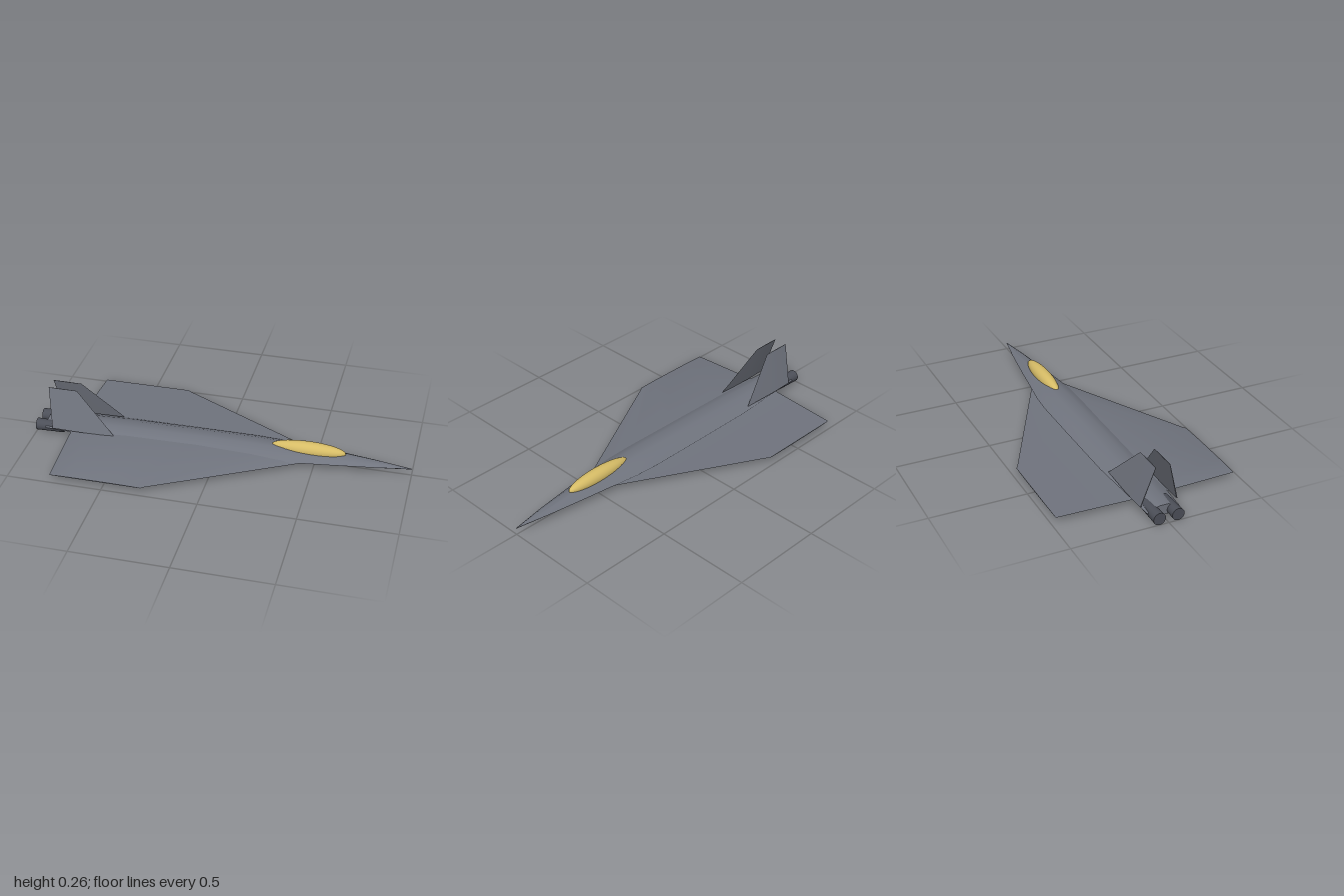
import * as THREE from 'three';
import { toCreasedNormals } from 'three/addons/utils/BufferGeometryUtils.js';

const mat = (name, color) => new THREE.MeshStandardMaterial({ name, color });

// Skin a row of closed cross-sections and cap both ends
function loft(rings, crease) {
  const n = rings[0].length, index = [];
  const last = (rings.length - 1) * n;
  for (let i = 0; i < rings.length - 1; i++) {
    for (let j = 0; j < n; j++) {
      const a = i * n + j, b = i * n + (j + 1) % n;
      index.push(a, b, a + n, b, b + n, a + n);
    }
  }
  for (let j = 1; j < n - 1; j++) {
    index.push(0, j + 1, j, last, last + j, last + j + 1);
  }
  const g = new THREE.BufferGeometry();
  g.setAttribute('position', new THREE.Float32BufferAttribute(rings.flat(2), 3));
  g.setIndex(index);
  return toCreasedNormals(g, crease);
}

// Faceted body, nose along +x
function fuselageGeometry() {
  const mid = 0.039;
  const stations = [ // x, half width, top, bottom
    [-0.945, 0.085, 0.066, 0.012], [-0.5, 0.113, 0.077, 0.008], [-0.1, 0.115, 0.083, 0.007],
    [0.18, 0.115, 0.084, 0.008], [0.3, 0.107, 0.081, 0.010], [0.42, 0.09, 0.078, 0.013],
    [0.6, 0.066, 0.072, 0.018], [0.82, 0.034, 0.055, 0.027], [1, 0.001, 0.038, 0.036],
  ];
  return loft(stations.map(([x, w, top, bot]) => [
    [x, mid, -w], [x, mid + 0.58 * (top - mid), -0.64 * w], [x, top, -0.27 * w],
    [x, top, 0.27 * w], [x, mid + 0.58 * (top - mid), 0.64 * w], [x, mid, w],
    [x, bot, 0.5 * w], [x, bot, -0.5 * w],
  ]), 0.6);
}

// Plano-convex wing: the curved face is up on one side, down on the other
function wingGeometry(side) {
  const section = [[0, 0], [0.06, 0.45], [0.2, 0.85], [0.45, 1], [0.75, 0.85], [0.94, 0.45], [1, 0]];
  const spans = [ // z, leading x, trailing x, flat face y, thickness
    [0.08, 0.437, -0.802, 0.034, 0.026], [0.465, -0.29, -0.782, 0.028, 0.008],
    [0.475, -0.3, -0.78, 0.028, 0.004],
  ];
  return loft(spans.map(([z, lead, trail, y, t]) =>
    section.map(([u, h]) => [lead + (trail - lead) * u, y + side * t * h, side * z])), 0.6);
}

// Tapered fin leaning inwards
function finGeometry(side) {
  const levels = [ // y, trailing x, leading x, z, half thickness
    [0.05, -0.898, -0.555, 0.096, 0.006], [0.265, -0.925, -0.77, 0.037, 0.002],
  ];
  return loft(levels.map(([y, trail, lead, z, t]) => {
    const at = (u, d) => [trail + (lead - trail) * u, y, side * z + d];
    return [at(0, t * 0.4), at(0.4, t), at(1, 0), at(0.4, -t), at(0, -t * 0.4)];
  }), 0.5);
}

export function createModel() {
  const model = new THREE.Group();
  const grey = mat('airframe grey', 0x70747e);
  const dark = mat('nozzle grey', 0x4c4f58);
  const gold = mat('canopy gold', 0xd6bc66);

  const add = (name, geometry, material) => {
    const mesh = new THREE.Mesh(geometry, material);
    mesh.name = name;
    model.add(mesh);
    return mesh;
  };

  add('fuselage', fuselageGeometry(), grey);

  // Canopy bubble
  const canopy = new THREE.SphereGeometry(1, 32, 20);
  canopy.rotateZ(Math.PI / 2).scale(0.195, 0.042, 0.04).translate(0.463, 0.073, 0);
  add('canopy', canopy, gold);

  for (const side of [1, -1]) {
    const label = side > 0 ? 'front' : 'rear';
    add(label + 'SideWing', wingGeometry(side), grey);
    add(label + 'SideFin', finGeometry(side), grey);

    // Engine nozzle, slightly flared at the exit
    const nozzle = new THREE.CylinderGeometry(0.032, 0.028, 0.15, 24);
    nozzle.rotateZ(Math.PI / 2).translate(-0.925, 0.033, side * 0.049);
    add(label + 'SideNozzle', nozzle, dark);
  }
  return model;
}
